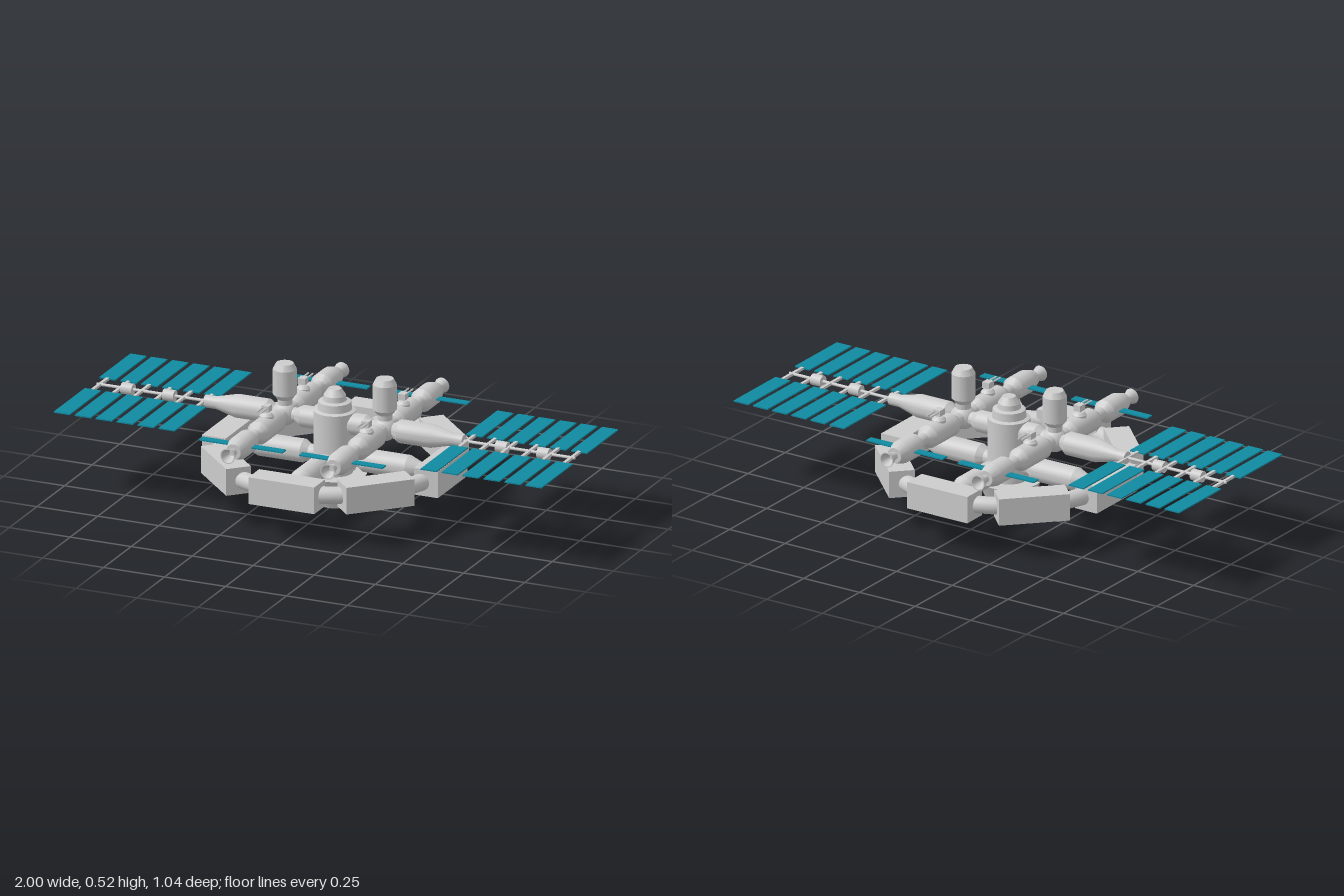
import * as THREE from 'three';
import { toCreasedNormals } from 'three/addons/utils/BufferGeometryUtils.js';

const grey = new THREE.MeshStandardMaterial({ color: 0xcccccc });
const teal = new THREE.MeshStandardMaterial({ color: 0x108aa0 });
const AXIS_Y = 0.325; // height of the main modules
const RING_Y = 0.188; // height of the ring

function add(parent, name, geometry, x = 0, y = 0, z = 0, material = grey) {
  const mesh = new THREE.Mesh(geometry, material);
  mesh.name = name;
  mesh.position.set(x, y, z);
  parent.add(mesh);
  return mesh;
}

function group(parent, name, x = 0, y = 0, z = 0, turn = 0) {
  const g = new THREE.Group();
  g.name = name;
  g.position.set(x, y, z);
  g.rotation.y = turn;
  parent.add(g);
  return g;
}

// Turned body from [radius, distance] pairs, pointing along the given axis
function turned(profile, axis = 'y') {
  const pts = profile.map(([r, d]) => new THREE.Vector2(r, d));
  let g = new THREE.LatheGeometry(pts, 32);
  g = toCreasedNormals(g, 0.35);
  if (axis === 'x') g.rotateZ(-Math.PI / 2);
  if (axis === 'z') g.rotateX(Math.PI / 2);
  return g;
}

// Central hub with its flared engine cone
function buildHub(core) {
  add(core, 'engineCone', turned([[0, 0], [0.064, 0], [0.123, 0.125], [0, 0.125]]));
  add(core, 'hub', turned([
    [0, 0.12], [0.068, 0.12], [0.068, 0.14], [0.08, 0.14], [0.08, 0.37], [0.065, 0.375],
    [0.062, 0.405], [0.045, 0.41], [0.042, 0.43], [0.025, 0.456], [0, 0.456]]));
}

// Habitat ring: tube, eight box cabins and four spokes
function buildRing(core) {
  const ring = group(core, 'ring', 0, RING_Y, 0);
  const tube = new THREE.TorusGeometry(0.435, 0.033, 20, 96);
  tube.rotateX(Math.PI / 2);
  add(ring, 'ringTube', tube);
  const cabin = new THREE.BoxGeometry(0.27, 0.106, 0.098);
  for (let i = 0; i < 8; i++) {
    const a = i * Math.PI / 4;
    add(ring, 'cabin', cabin, Math.sin(a) * 0.435, 0, Math.cos(a) * 0.435).rotation.y = a;
  }
  const spoke = turned([[0.03, 0.05], [0.03, 0.1], [0.045, 0.125], [0.045, 0.305],
    [0.027, 0.35], [0.027, 0.41]], 'z');
  for (let i = 0; i < 4; i++) add(ring, 'spoke', spoke).rotation.y = i * Math.PI / 2;
}

// Small turret with twin barrels pointing along +z
function buildTurret(parent, z) {
  const t = group(parent, 'turret', 0, 0.038, z);
  add(t, 'turretBase', turned([[0.027, -0.005], [0.027, 0.008], [0.018, 0.018], [0, 0.022]]));
  add(t, 'turretStem', new THREE.CylinderGeometry(0.007, 0.007, 0.025, 12), 0, 0.025, 0);
  add(t, 'turretHead', new THREE.BoxGeometry(0.03, 0.024, 0.034), 0, 0.037, 0);
  const barrel = new THREE.CylinderGeometry(0.0035, 0.0035, 0.065, 8);
  barrel.rotateX(Math.PI / 2);
  for (const s of [-1, 1]) add(t, 'barrel', barrel, s * 0.009, 0.042, 0.036);
}

// Cross pod at x: node, upright tank, and two modules with nozzles along z
function buildPod(core, x) {
  const pod = group(core, 'pod', x, AXIS_Y, 0);
  add(pod, 'node', new THREE.SphereGeometry(0.047, 32, 20));
  add(pod, 'uprightTank', turned([[0.028, 0.02], [0.028, 0.058], [0.045, 0.078],
    [0.045, 0.177], [0.033, 0.2], [0, 0.2]]));
  const module = turned([[0.03, 0], [0.03, 0.065], [0.045, 0.09], [0.045, 0.24], [0.026, 0.27],
    [0.026, 0.31], [0.045, 0.335], [0.045, 0.42], [0.03, 0.465], [0, 0.465]], 'z');
  const nozzleShape = turned([[0, 0.455], [0.014, 0.455], [0.015, 0.475], [0.03, 0.518],
    [0.026, 0.518], [0.01, 0.48], [0, 0.48]], 'z');
  for (const turn of [0, Math.PI]) {
    const arm = group(pod, 'podArm', 0, 0, 0, turn);
    add(arm, 'module', module);
    add(arm, 'nozzle', nozzleShape);
    add(arm, 'stripPanel', new THREE.BoxGeometry(0.342, 0.005, 0.034), 0, 0, 0.382, teal);
    buildTurret(arm, 0.165);
  }
}

// Main arm along +x, from hub to wing root
function buildArm(core, turn) {
  const arm = group(core, 'mainArm', 0, AXIS_Y, 0, turn);
  add(arm, 'armModule', turned([[0.042, 0.05], [0.042, 0.13], [0.028, 0.155], [0.028, 0.245],
    [0.045, 0.27], [0.045, 0.4], [0.024, 0.485], [0.024, 0.53], [0, 0.53]], 'x'));
}

// Solar wing along +x: spine, joints, and six cross bars with paired panels
function buildWing(root, turn) {
  const wing = group(root, 'solarWing', 0, AXIS_Y, 0, turn);
  const spine = new THREE.CylinderGeometry(0.006, 0.006, 0.48, 12);
  spine.rotateZ(Math.PI / 2);
  add(wing, 'spine', spine, 0.74, 0, 0);
  const joint = new THREE.CylinderGeometry(0.022, 0.022, 0.046, 24);
  joint.rotateZ(Math.PI / 2);
  for (const x of [0.682, 0.853]) add(wing, 'joint', joint, x, 0, 0);
  const bar = new THREE.BoxGeometry(0.012, 0.01, 0.135);
  const panel = new THREE.BoxGeometry(0.066, 0.005, 0.282);
  for (let i = 0; i < 6; i++) {
    const x = 0.537 + i * 0.086;
    add(wing, 'crossBar', bar, x, 0, 0);
    for (const s of [-1, 1]) add(wing, 'solarPanel', panel, x, 0, s * 0.206, teal);
  }
}

export function createModel() {
  const root = new THREE.Group();
  root.name = 'spaceStation';
  const core = group(root, 'core', -0.005, 0, 0);
  buildHub(core);
  buildRing(core);
  for (const s of [-1, 1]) buildPod(core, s * 0.205);
  for (const turn of [0, Math.PI]) {
    buildArm(core, turn);
    buildWing(root, turn);
  }
  return root;
}
